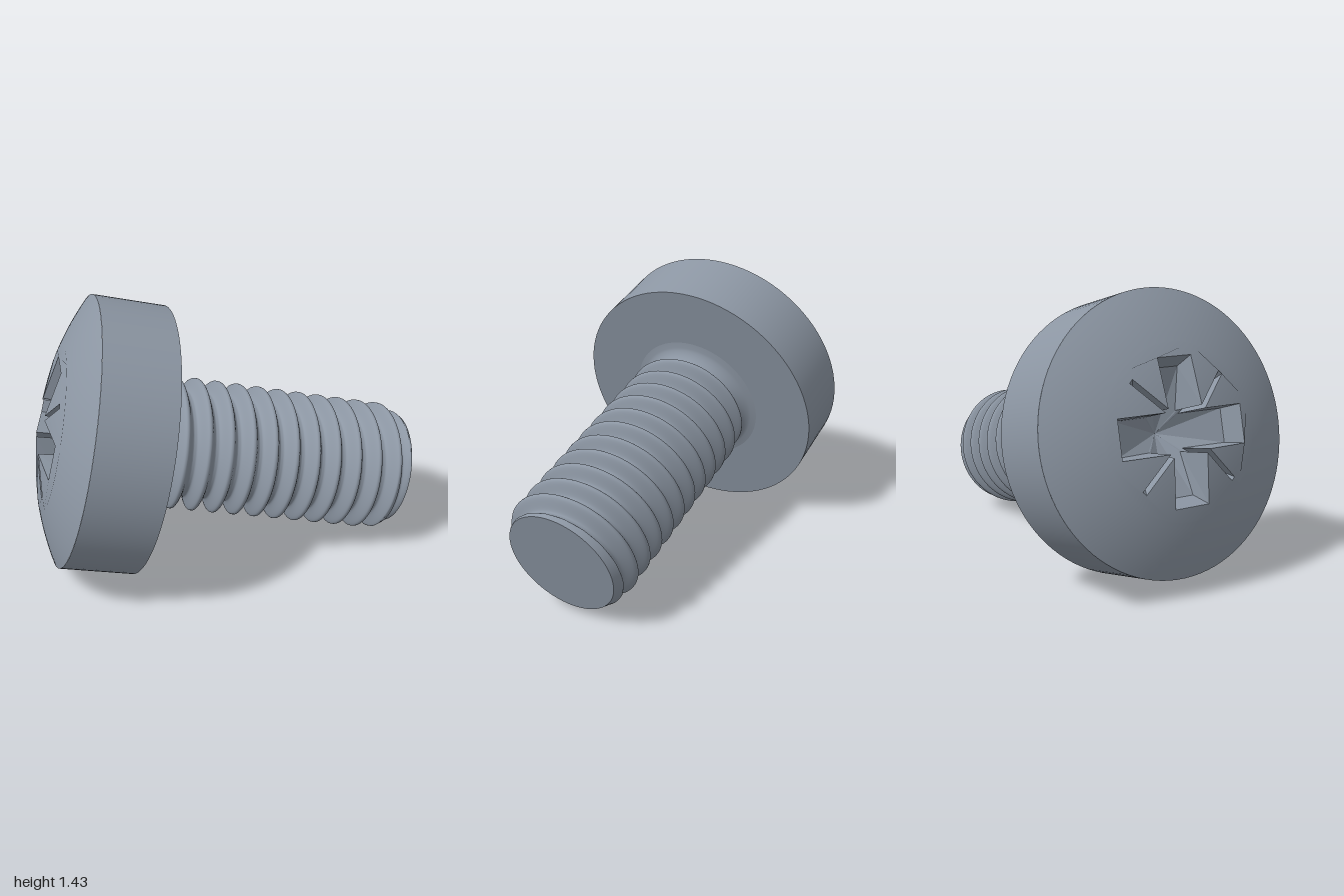
import * as THREE from 'three';
import { mergeVertices } from 'three/addons/utils/BufferGeometryUtils.js';

const SEG = 96;
const HEAD_R = 0.692, RIM = 0.37;          // head radius and height of its straight side
const DOME_C = 0.93, DOME_R = 1.473;       // centre (along the axis) and radius of the dome sphere
const FACE_R = 0.42;                       // dome zone that holds the drive recess
const LENGTH = 1.385, CREST = 0.345, ROOT = 0.275, PITCH = 0.1153, TIP_R = 0.297;

const domeY = r => DOME_C - Math.sqrt(DOME_R * DOME_R - r * r);
const { smoothstep, lerp, clamp } = THREE.MathUtils;

// Radius of the threaded shank at distance u below the head and angle a
function shankRadius(u, a) {
  const turns = (u - 0.122) / PITCH - a / (2 * Math.PI);
  const s = Math.abs(turns - Math.round(turns));
  const groove = smoothstep(s, 0.03, 0.44);
  let r = lerp(ROOT, CREST - (CREST - ROOT) * groove, smoothstep(u, 0.05, 0.11));
  const f = 0.1;
  if (u < f) r = Math.max(r, ROOT + f - Math.sqrt(Math.max(0, f * f - (f - u) ** 2)));
  r = lerp(r, Math.max(r, TIP_R), smoothstep(u, 1.32, LENGTH));
  return clamp(r, 0.1, TIP_R + (LENGTH - u) * 0.55);
}

function threadGeometry() {
  let g = new THREE.CylinderGeometry(1, 1, LENGTH, SEG, 270, true);
  g.deleteAttribute('uv');
  g.deleteAttribute('normal');
  g = mergeVertices(g, 1e-4);
  const p = g.attributes.position;
  for (let i = 0; i < p.count; i++) {
    const u = p.getY(i) + LENGTH / 2;
    const a = Math.atan2(-p.getZ(i), p.getX(i));
    const r = shankRadius(u, a);
    p.setXYZ(i, r * Math.cos(a), u, -r * Math.sin(a));
  }
  g.computeVertexNormals();
  return g;
}

// Outline of the cross recess with a thin slit between each pair of arms.
// Each entry: [x, z, depth of the floor below the dome]
function recessOutline() {
  const w = 0.095, L = 0.35, g = 0.012, k = Math.SQRT1_2, S = 0.36;
  const quarter = [
    [L, -w, 0.1], [L, w, 0.1],
    [w + g / k, w, 0.2],
    [(S + g) * k, (S - g) * k, 0.05], [(S - g) * k, (S + g) * k, 0.05],
    [w, w + g / k, 0.2],
  ];
  const out = [];
  for (let q = 0; q < 4; q++) {
    const c = Math.round(Math.cos(q * Math.PI / 2)), s = Math.round(Math.sin(q * Math.PI / 2));
    for (const [x, z, d] of quarter) out.push([x * c - z * s, x * s + z * c, d]);
  }
  return out;
}

// Dome centre with the recess cut out
function domeFaceGeometry(outline) {
  const circle = [];
  for (let i = 0; i < SEG; i++) {
    const a = i / SEG * Math.PI * 2;
    circle.push(new THREE.Vector2(FACE_R * Math.cos(a), FACE_R * Math.sin(a)));
  }
  const shape = new THREE.Shape(circle);
  shape.holes.push(new THREE.Path(outline.map(([x, z]) => new THREE.Vector2(x, z))));
  const g = new THREE.ShapeGeometry(shape);
  const p = g.attributes.position, n = g.attributes.normal;
  for (let i = 0; i < p.count; i++) {
    const x = p.getX(i), z = p.getY(i), y = domeY(Math.hypot(x, z));
    p.setXYZ(i, x, y, z);
    n.setXYZ(i, x / DOME_R, (y - DOME_C) / DOME_R, z / DOME_R);
  }
  return g;
}

// Tapered walls and sloping floor of the recess
function recessGeometry(outline) {
  const top = outline.map(([x, z]) => [x, domeY(Math.hypot(x, z)), z]);
  const low = outline.map(([x, z, d], i) => [x * 0.88, top[i][1] + d, z * 0.88]);
  const centre = [0, domeY(0) + 0.28, 0];
  const v = [];
  outline.forEach((_, i) => {
    const j = (i + 1) % outline.length;
    v.push(...top[i], ...top[j], ...low[j], ...top[i], ...low[j], ...low[i]);
    v.push(...low[i], ...low[j], ...centre);
  });
  const g = new THREE.BufferGeometry();
  g.setAttribute('position', new THREE.Float32BufferAttribute(v, 3));
  g.computeVertexNormals();
  return g;
}

export function createModel() {
  const steel = new THREE.MeshStandardMaterial({ color: 0x8c96a3 });
  steel.name = 'steel';
  const screw = new THREE.Group();
  screw.name = 'screw';
  const add = (name, geometry) => {
    const m = new THREE.Mesh(geometry, steel);
    m.name = name;
    screw.add(m);
  };
  const lathe = pts => new THREE.LatheGeometry(pts.map(([r, y]) => new THREE.Vector2(r, y)), SEG);

  // Head
  const dome = [];
  for (let i = 0; i <= 10; i++) {
    const r = lerp(FACE_R, HEAD_R, i / 10);
    dome.push([r, domeY(r)]);
  }
  const outline = recessOutline();
  add('headDome', lathe(dome));
  add('headFace', domeFaceGeometry(outline));
  add('driveRecess', recessGeometry(outline));
  add('headSide', lathe([[HEAD_R, -RIM], [HEAD_R, 0]]));
  add('headUnderside', lathe([[HEAD_R, 0], [0.3, 0]]));

  // Shank
  add('threadedShank', threadGeometry());
  const tip = new THREE.CircleGeometry(TIP_R, SEG).rotateX(-Math.PI / 2);
  tip.translate(0, LENGTH, 0);
  add('shankTip', tip);

  // Lean the screw: local y runs along the shank, local x points mostly upward
  const axis = new THREE.Vector3(1, -0.255, 0.218).normalize();
  const up = new THREE.Vector3(0, 1, 0).addScaledVector(axis, -axis.y).normalize();
  const side = new THREE.Vector3().crossVectors(up, axis);
  screw.quaternion.setFromRotationMatrix(new THREE.Matrix4().makeBasis(up, axis, side));
  screw.position.set(-0.408, 0.672, 0.037);

  const model = new THREE.Group();
  model.name = 'panHeadScrew';
  model.add(screw);
  return model;
}
